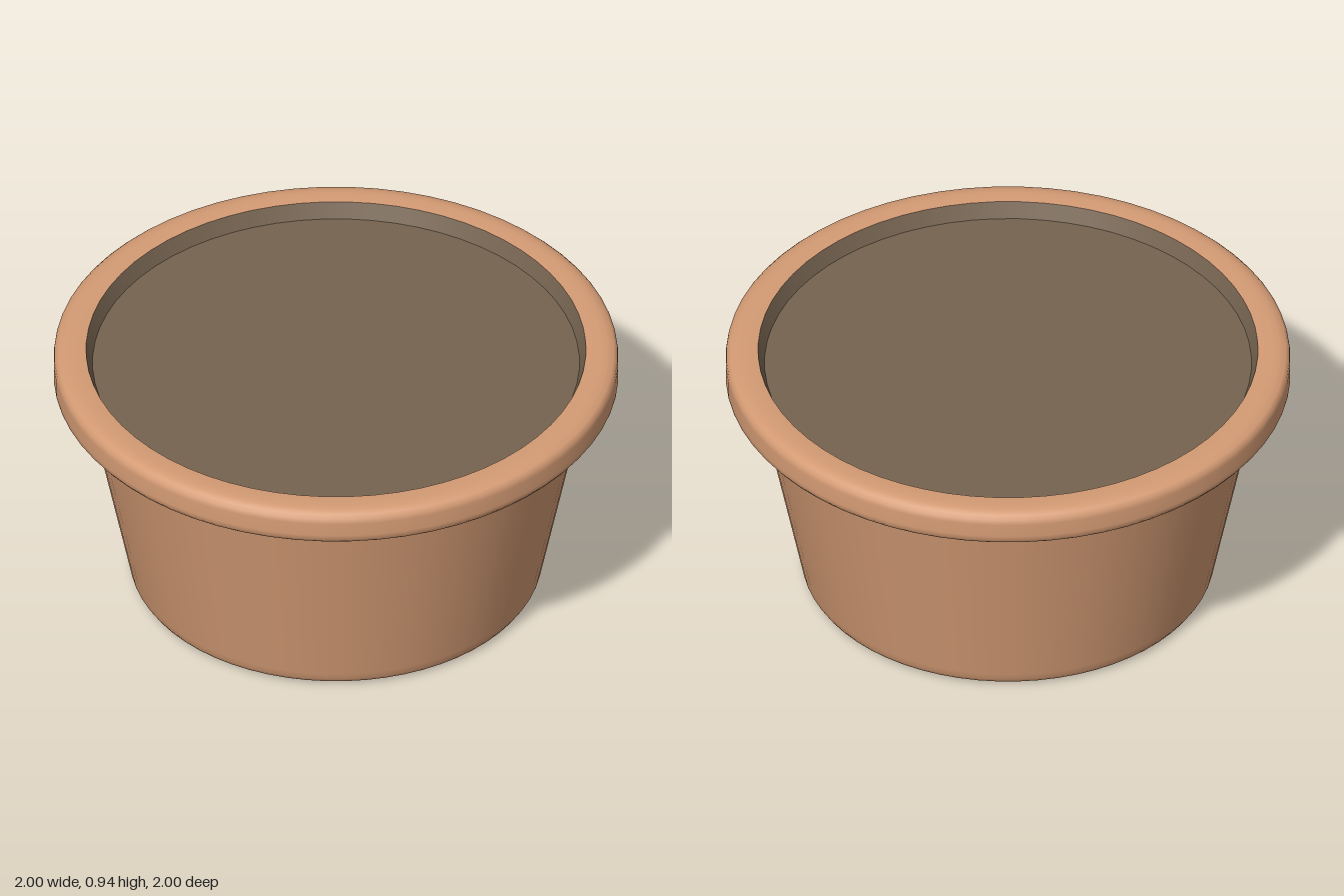
import * as THREE from 'three';

const SEGMENTS = 64;

// Revolve a profile of [radius, height] pairs around the y axis
function lathe(name, profile, material) {
  const points = profile.map(([r, y]) => new THREE.Vector2(r, y));
  const mesh = new THREE.Mesh(new THREE.LatheGeometry(points, SEGMENTS), material);
  mesh.name = name;
  return mesh;
}

export function createModel() {
  const clay = new THREE.MeshStandardMaterial({ name: 'clay', color: 0xd49b74 });
  const soil = new THREE.MeshStandardMaterial({ name: 'soil', color: 0x756350 });

  const group = new THREE.Group();
  group.name = 'flowerPot';

  // Flat underside with a small bevel, then the tapered wall up to the rim
  group.add(lathe('potBody', [
    [0, 0], [0.67, 0], [0.695, 0.002], [0.72, 0.014], [0.73, 0.03], [0.735, 0.055],
    [0.88, 0.755], [0.886, 0.782], [0.896, 0.8], [0.915, 0.81],
  ], clay));

  // Thick rounded rim
  group.add(lathe('rim', [
    [0.9, 0.807], [0.93, 0.811], [0.965, 0.816], [0.988, 0.822], [1, 0.838],
    [1, 0.855], [1, 0.905], [0.997, 0.924], [0.985, 0.936], [0.962, 0.944],
    [0.94, 0.945], [0.91, 0.945], [0.885, 0.943],
  ], clay));

  // Sunken soil: a short sloping edge and the flat surface
  group.add(lathe('soilEdge', [[0.885, 0.943], [0.862, 0.885]], soil));
  group.add(lathe('soilSurface', [[0.862, 0.885], [0, 0.885]], soil));

  return group;
}
